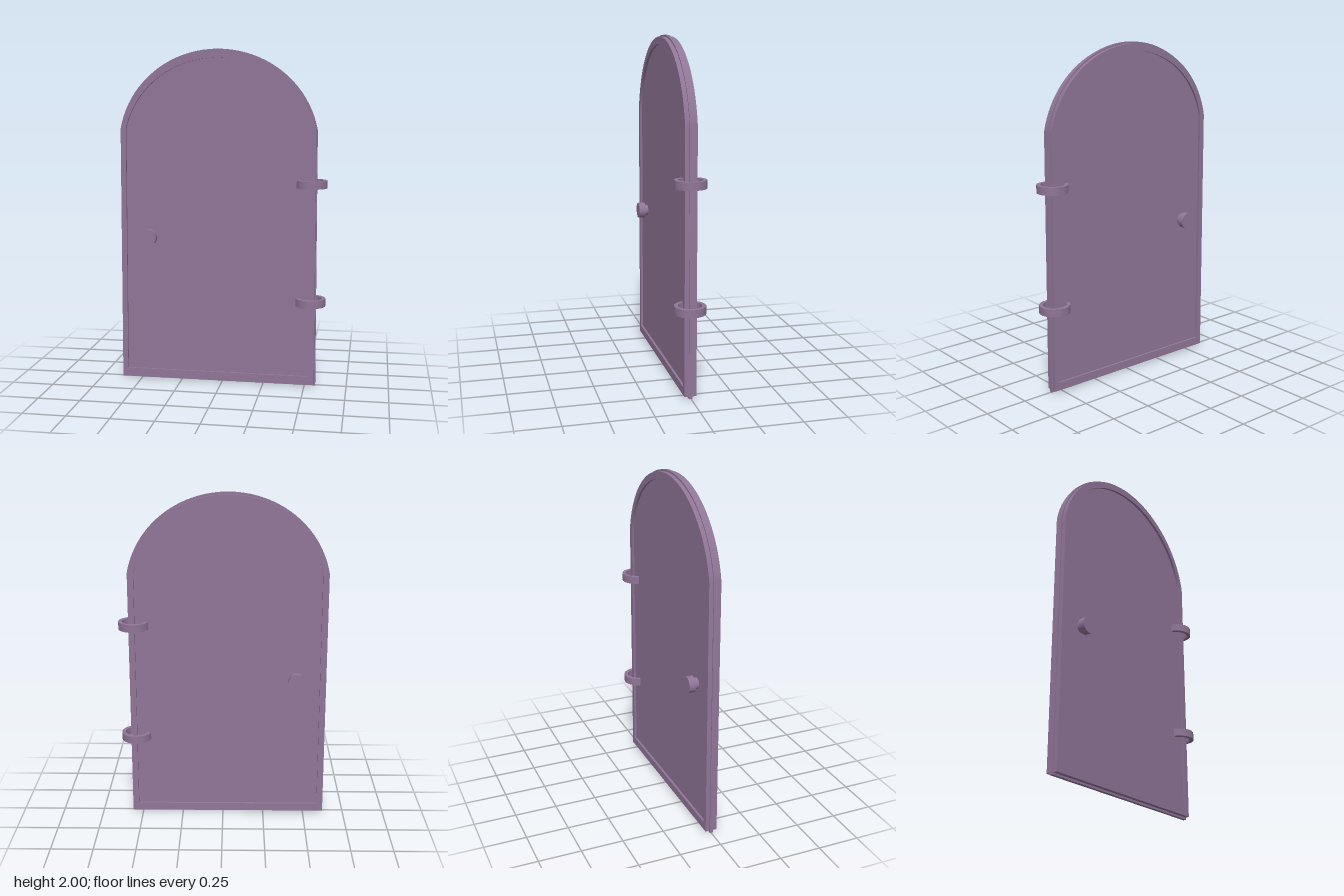
import * as THREE from 'three';
import { toCreasedNormals } from 'three/addons/utils/BufferGeometryUtils.js';

const DOOR_X = -0.03; // centre line of the door leaf
const DOOR_Z = 0.002;
const material = new THREE.MeshStandardMaterial({ color: 0x8f7597 });

// Arched outline: half width at the foot, bottom and top heights
function archPoints(half, bottom, top) {
  const spring = 1.53, centreY = 1.43;
  const ry = top - centreY;
  const start = Math.asin((spring - centreY) / ry);
  const rx = (half - 0.007) / Math.cos(start);
  const points = [new THREE.Vector2(-half, bottom), new THREE.Vector2(half, bottom)];
  const steps = 40;
  for (let i = 0; i <= steps; i++) {
    const a = start + (Math.PI - 2 * start) * (i / steps);
    points.push(new THREE.Vector2(rx * Math.cos(a), centreY + ry * Math.sin(a)));
  }
  return points;
}

function extrude(shape, depth, curveSegments = 12) {
  const geometry = new THREE.ExtrudeGeometry(shape, { depth, bevelEnabled: false, curveSegments });
  geometry.translate(0, 0, -depth / 2);
  return toCreasedNormals(geometry, 0.5);
}

function addMesh(parent, name, geometry, x = 0, y = 0, z = 0) {
  const mesh = new THREE.Mesh(geometry, material);
  mesh.name = name;
  mesh.position.set(x, y, z);
  parent.add(mesh);
  return mesh;
}

export function createModel() {
  const model = new THREE.Group();
  model.name = 'archedDoor';

  // Door leaf: sunken panel, raised border and thin ridge round the edge
  const leaf = new THREE.Group();
  leaf.name = 'doorLeaf';
  leaf.position.set(DOOR_X, 0, DOOR_Z);
  model.add(leaf);

  const opening = archPoints(0.556, 0.06, 1.948);
  addMesh(leaf, 'panel', extrude(new THREE.Shape(archPoints(0.57, 0.04, 1.965)), 0.042));

  const border = new THREE.Shape(archPoints(0.588, 0.012, 1.99));
  border.holes.push(new THREE.Path(opening));
  addMesh(leaf, 'border', extrude(border, 0.07));

  const ridge = new THREE.Shape(archPoints(0.595, 0, 2));
  ridge.holes.push(new THREE.Path(opening));
  addMesh(leaf, 'edgeRidge', extrude(ridge, 0.02));

  // A knob with a stem on each face
  for (const [name, side] of [['front', 1], ['back', -1]]) {
    const knob = new THREE.Group();
    knob.name = name + 'Knob';
    knob.position.set(-0.44, 0.885, 0);
    model.add(knob);
    const stem = new THREE.CylinderGeometry(0.033, 0.033, 0.04, 32).rotateX(Math.PI / 2);
    const disc = new THREE.CylinderGeometry(0.048, 0.048, 0.04, 32).rotateX(Math.PI / 2);
    addMesh(knob, 'knobStem', stem, 0, 0, side * 0.033);
    addMesh(knob, 'knobDisc', disc, 0, 0, side * 0.063);
  }

  // Flat hinge rings passing through the door edge
  const ring = new THREE.Shape().absarc(0, 0, 0.09, 0, Math.PI * 2, false);
  ring.holes.push(new THREE.Path().absarc(0, 0, 0.067, 0, Math.PI * 2, true));
  const ringGeometry = extrude(ring, 0.046, 32).rotateX(Math.PI / 2);
  addMesh(model, 'lowerHinge', ringGeometry, 0.528, 0.512, -0.001);
  addMesh(model, 'upperHinge', ringGeometry, 0.528, 1.217, -0.001);

  return model;
}
